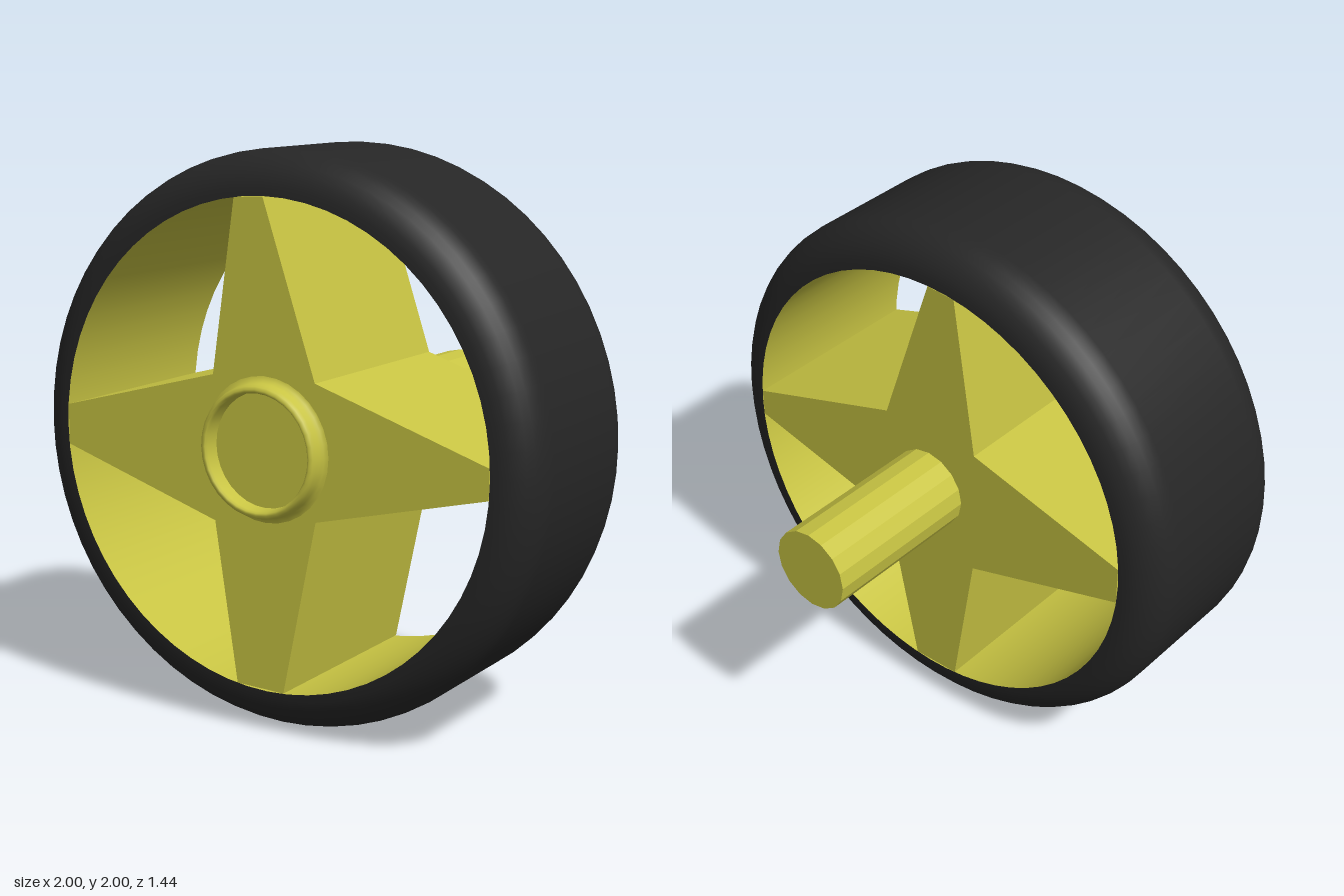
import * as THREE from 'three';

const FRONT = 0.66, BACK = -0.105, RIM = 0.85, CORNER = 0.15;

export function createModel() {
  const model = new THREE.Group();
  const rubber = new THREE.MeshStandardMaterial({ color: 0x262626 });
  const yellow = new THREE.MeshStandardMaterial({ color: 0xc8c443 });
  const yellowFlat = new THREE.MeshStandardMaterial({ color: 0xc8c443, flatShading: true });

  const add = (name, geometry, material) => {
    const mesh = new THREE.Mesh(geometry, material);
    mesh.name = name;
    mesh.position.y = 1;
    model.add(mesh);
    return mesh;
  };
  // Profile of [radius, z] pairs, turned about the wheel's z axis
  const turn = (points, segments) =>
    new THREE.LatheGeometry(points.map(([r, z]) => new THREE.Vector2(r, z)), segments).rotateX(Math.PI / 2);

  // Tyre: wide tread with rounded shoulders that meet the rim edge
  const tread = [];
  for (const [z, start] of [[BACK + CORNER, -Math.PI / 2], [FRONT - CORNER, 0]]) {
    for (let i = 0; i <= 8; i++) {
      const a = start + (i / 8) * (Math.PI / 2);
      tread.push([RIM + CORNER * Math.cos(a), z + CORNER * Math.sin(a)]);
    }
  }
  add('tyre', turn(tread, 64), rubber);

  // Rim: inward-facing barrel
  add('rim', turn([[RIM, FRONT], [RIM, BACK]], 64), yellow);

  // Spokes: slightly uneven four-pointed star, as deep as the wheel
  const star = [
    [-0.115, 0.842], [-0.21, 0.24], [-0.846, 0.075], [-0.846, -0.07],
    [-0.21, -0.27], [-0.125, -0.84], [0.065, -0.846], [0.2, -0.225],
    [0.846, -0.07], [0.848, 0.035], [0.2, 0.245], [0, 0.849],
  ].map(([x, y]) => new THREE.Vector2(x, y));
  const spokes = new THREE.ExtrudeGeometry(new THREE.Shape(star), { depth: FRONT - BACK, bevelEnabled: false });
  add('spokes', spokes.translate(0, 0, BACK), yellowFlat);

  // Hub cap: raised ring with a flared foot and an open centre
  add('hubRing', turn([
    [0.252, FRONT], [0.238, 0.665], [0.232, 0.68], [0.23, 0.7], [0.225, 0.714],
    [0.215, 0.72], [0.207, 0.718], [0.202, 0.71], [0.2, FRONT],
  ], 32), yellow);

  // Axle: faceted stub reaching out of the back
  const axleLength = BACK + 0.72;
  const axle = new THREE.CylinderGeometry(0.153, 0.153, axleLength, 16).rotateX(Math.PI / 2);
  add('axle', axle, yellowFlat).position.z = BACK - axleLength / 2;

  return model;
}
